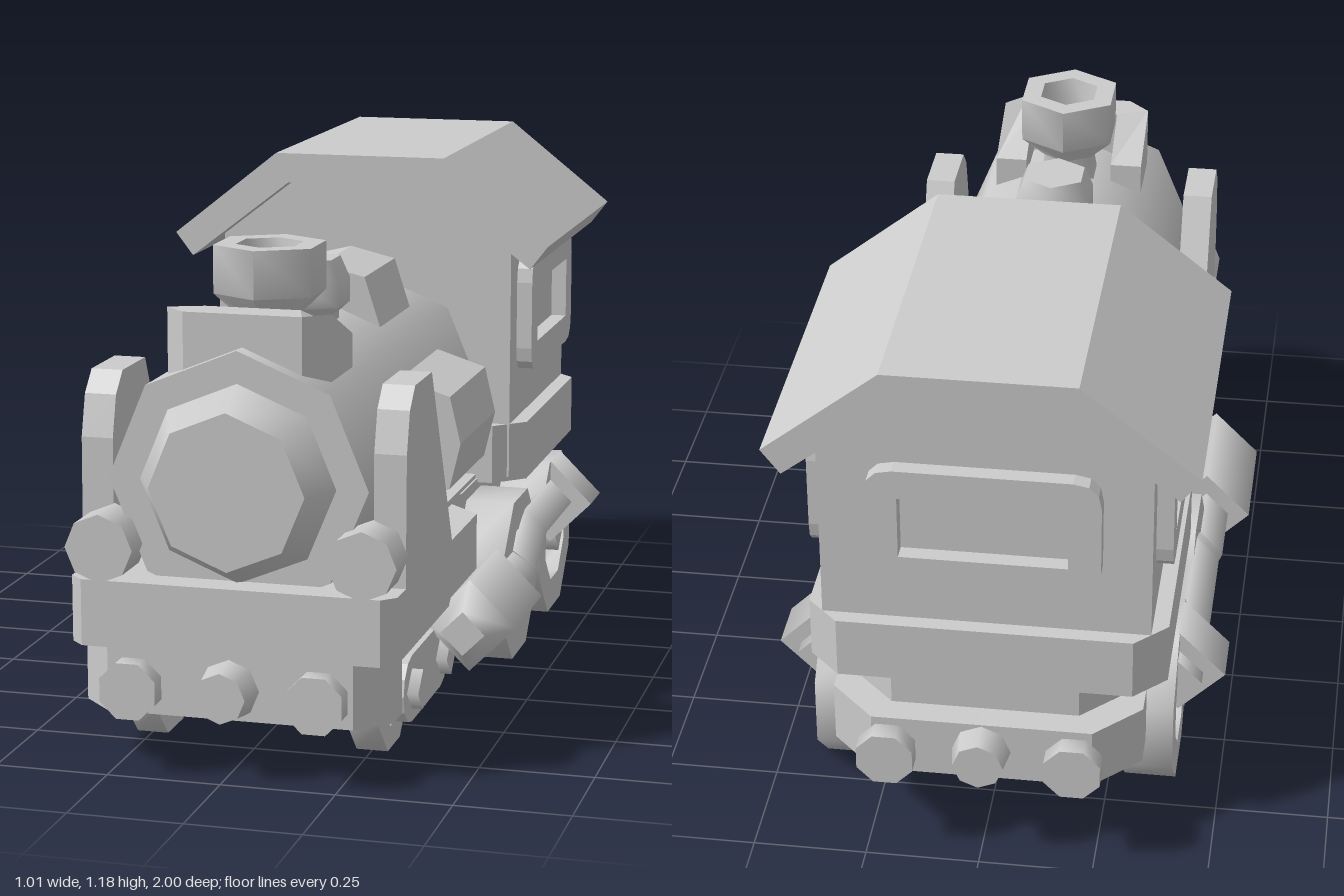
import * as THREE from 'three';
import { toCreasedNormals } from 'three/addons/utils/BufferGeometryUtils.js';

const material = new THREE.MeshStandardMaterial({ color: 0xcccccc, side: THREE.DoubleSide });
const HALF = Math.PI / 2;

export function createModel() {
  const model = new THREE.Group();

  const add = (name, geometry, x = 0, y = 0, z = 0) => {
    const mesh = new THREE.Mesh(geometry, material);
    mesh.name = name;
    mesh.position.set(x, y, z);
    model.add(mesh);
    return mesh;
  };
  const shapeOf = pts => new THREE.Shape(pts.map(p => new THREE.Vector2(p[0], p[1])));
  const extrude = (shape, depth) =>
    new THREE.ExtrudeGeometry(shape, { depth, bevelEnabled: false, curveSegments: 3 });
  // Outline in (x, z), raised from y0 to y1
  const plan = (pts, y0, y1) =>
    extrude(shapeOf(pts.map(([x, z]) => [x, -z])), y1 - y0).rotateX(-HALF).translate(0, y0, 0);
  // Outline in (x, y), running from z0 to z1
  const along = (pts, z0, z1) => extrude(shapeOf(pts), z1 - z0).translate(0, 0, z0);
  // Outline in (z, y), running from x0 to x1
  const across = (shape, x0, x1) => extrude(shape, x1 - x0).rotateY(-HALF).translate(x1, 0, 0);
  // Plan rectangle with chamfered back and front corners
  const slab = (hx, z0, z1, back, front) => [
    [-hx + back, z0], [hx - back, z0], [hx, z0 + back], [hx, z1 - front],
    [hx - front, z1], [-hx + front, z1], [-hx, z1 - front], [-hx, z0 + back]];
  // Lengthwise cylinder from z0 to z1
  const barrel = (r0, r1, z0, z1, sides) =>
    new THREE.CylinderGeometry(r1, r0, z1 - z0, sides).rotateX(HALF).translate(0, 0, (z0 + z1) / 2);
  const lathe = (pts, sides, phase = 0) => toCreasedNormals(
    new THREE.LatheGeometry(pts.map(p => new THREE.Vector2(p[0], p[1])), sides, phase), 1.1);

  // Boiler and smokebox door
  add('boiler', barrel(0.285, 0.285, -0.25, 0.86, 8), 0, 0.615);
  add('smokeboxDoor', barrel(0.215, 0.17, 0.86, 0.945, 8), 0, 0.615);

  // Raised panels on the top and both sides of the boiler
  const panel = [[-0.15, 0.2], [0.15, 0.2], [0.105, 0.34], [0, 0.365], [-0.105, 0.34]];
  for (const [name, turn, z0, z1] of [['topPanel', 0, -0.07, 0.21],
    ['leftPanel', -HALF, 0, 0.36], ['rightPanel', HALF, 0, 0.36]])
    add(name, along(panel, z0, z1).rotateZ(turn), 0, 0.615);

  // Chimney, dome and the collar that wraps the chimney
  add('chimney', lathe([[0.085, 0.82], [0.065, 0.93], [0.125, 0.985], [0.125, 1.09],
    [0.075, 1.09], [0.065, 1.0], [0, 1.0]], 6), 0, 0, 0.61);
  add('dome', lathe([[0.075, 0.83], [0.075, 0.89], [0.1, 0.91], [0.1, 0.965],
    [0.078, 1.015], [0, 1.015]], 6), 0, 0, 0.32);
  const collar = plan([[-0.18, 0.6], [-0.105, 0.6], [-0.105, 0.74], [0.105, 0.74], [0.105, 0.6],
    [0.18, 0.6], [0.18, 0.77], [0.13, 0.82], [-0.13, 0.82], [-0.18, 0.77]], 0.76, 0.97);
  const cp = collar.attributes.position;
  for (let i = 0; i < cp.count; i++)
    if (cp.getY(i) > 0.9 && cp.getZ(i) < 0.7) cp.setY(i, 0.9);
  collar.computeVertexNormals();
  add('chimneyCollar', collar);

  // Chassis
  add('runningBoard', plan(slab(0.357, 0.07, 0.93, 0.08, 0.03), 0.26, 0.405));
  add('frontBumper', plan(slab(0.34, 0.76, 0.93, 0.03, 0.07), 0.12, 0.27));
  add('middleFrame', plan(slab(0.28, -0.25, 0.15, 0, 0), 0.33, 0.42));
  add('rearFrame', plan(slab(0.285, -0.88, 0.05, 0.08, 0.06), 0.2, 0.41));
  add('rearBeam', plan(slab(0.34, -0.94, -0.76, 0.1, 0), 0.19, 0.33));

  // Cab with skirt and roof
  add('cabBody', along([[-0.355, 0.41], [0.355, 0.41], [0.355, 0.985], [0.175, 1.125],
    [-0.175, 1.125], [-0.355, 0.985]], -0.855, -0.21));
  add('cabSkirt', plan(slab(0.39, -0.89, -0.18, 0.07, 0.07), 0.4, 0.54));
  add('cabRoof', along([[-0.457, 0.985], [-0.415, 0.93], [-0.175, 1.115], [0.175, 1.115],
    [0.415, 0.93], [0.457, 0.985], [0.205, 1.185], [-0.205, 1.185]], -0.925, -0.14));

  // Window frames with rounded outer corners
  const frame = (w, h, c, hw, hh) => {
    const s = new THREE.Shape();
    s.moveTo(-w + c, -h);
    s.lineTo(w - c, -h); s.quadraticCurveTo(w, -h, w, -h + c);
    s.lineTo(w, h - c); s.quadraticCurveTo(w, h, w - c, h);
    s.lineTo(-w + c, h); s.quadraticCurveTo(-w, h, -w, h - c);
    s.lineTo(-w, -h + c); s.quadraticCurveTo(-w, -h, -w + c, -h);
    s.holes.push(new THREE.Path([[-hw, -hh], [-hw, hh], [hw, hh], [hw, -hh]]
      .map(p => new THREE.Vector2(...p))));
    return extrude(s, 0.045);
  };
  for (const side of [1, -1])
    add('sideWindowFrame', frame(0.25, 0.14, 0.06, 0.18, 0.073).rotateY(side * HALF),
      side * 0.347, 0.793, -0.533);
  add('rearWindowFrame', frame(0.25, 0.14, 0.06, 0.18, 0.073).rotateY(Math.PI), 0, 0.793, -0.847);

  // Buffers at both ends, the middle one tapering outwards
  for (const [end, y] of [[1, 0.187], [-1, 0.262]])
    for (const x of [-0.203, 0, 0.203]) {
      const g = x === 0 ? barrel(0.07, 0.055, 0.9, 1, 8)
        : lathe([[0.045, 0.9], [0.045, 0.93], [0.066, 0.955], [0.066, 1], [0, 1]], 8, Math.PI / 8)
          .rotateX(HALF);
      add(x === 0 ? 'coupling' : 'buffer', end > 0 ? g : g.rotateY(Math.PI), x, y, 0);
    }

  // Bogie body between the small wheels
  const bogie = new THREE.Shape();
  bogie.absarc(0.64, 0.13, 0.075, -HALF, HALF, false);
  bogie.absarc(0.37, 0.13, 0.075, HALF, 3 * HALF, false);
  add('bogie', across(bogie, -0.325, 0.325));

  // Octagonal wheel with a recessed outer face
  const wheel = (R, r, w, side) => lathe([[0, 0], [R, 0], [R, w], [r, w], [r, w - 0.04],
    [0, w - 0.04]], 8, Math.PI / 8).rotateZ(-side * HALF);

  for (const side of [1, -1]) {
    // Smoke deflector
    const deflector = shapeOf([[0.4, 0.4], [0.83, 0.4], [0.825, 0.69], [0.8, 0.78],
      [0.755, 0.825], [0.605, 0.825]]);
    add('smokeDeflector', across(deflector, side > 0 ? 0.287 : -0.357, side > 0 ? 0.357 : -0.287));
    add('headlight', barrel(0.075, 0.075, 0.82, 0.93, 8).translate(side * 0.287, 0.473, 0));

    // Wheels and square hubs
    for (const z of [0.64, 0.37]) {
      add('smallWheel', wheel(0.14, 0.085, 0.07, side), side * 0.215, 0.13, z);
      add('smallHub', new THREE.CylinderGeometry(0.045, 0.045, 0.1, 4).rotateZ(HALF),
        side * 0.3, 0.13, z);
    }
    for (const z of [-0.14, -0.57]) {
      add('largeWheel', wheel(0.207, 0.125, 0.115, side), side * 0.285, 0.192, z);
      add('largeHub', new THREE.CylinderGeometry(0.05, 0.05, 0.1, 4).rotateZ(HALF),
        side * 0.36, 0.192, z);
    }

    // Steam cylinder, connecting rod and crank block, all diamond in section
    add('steamCylinder', barrel(0.105, 0.105, 0.12, 0.41, 4), side * 0.4, 0.213);
    add('cylinderNose', barrel(0.105, 0.05, 0.41, 0.48, 4), side * 0.4, 0.213);
    const path = new THREE.CurvePath();
    const knots = [[0.213, 0.15], [0.213, -0.06], [0.285, -0.19], [0.285, -0.6]]
      .map(([y, z]) => new THREE.Vector3(side * 0.4, y, z));
    for (let i = 0; i < 3; i++) path.add(new THREE.LineCurve3(knots[i], knots[i + 1]));
    add('connectingRod', new THREE.TubeGeometry(path, 30, 0.054, 4));
    add('rodEnd', barrel(0.054, 0.054, -0.67, -0.58, 4), side * 0.4, 0.285);
    add('crankBlock', barrel(0.103, 0.103, -0.63, -0.505, 4), side * 0.4, 0.283);
  }
  return model;
}
